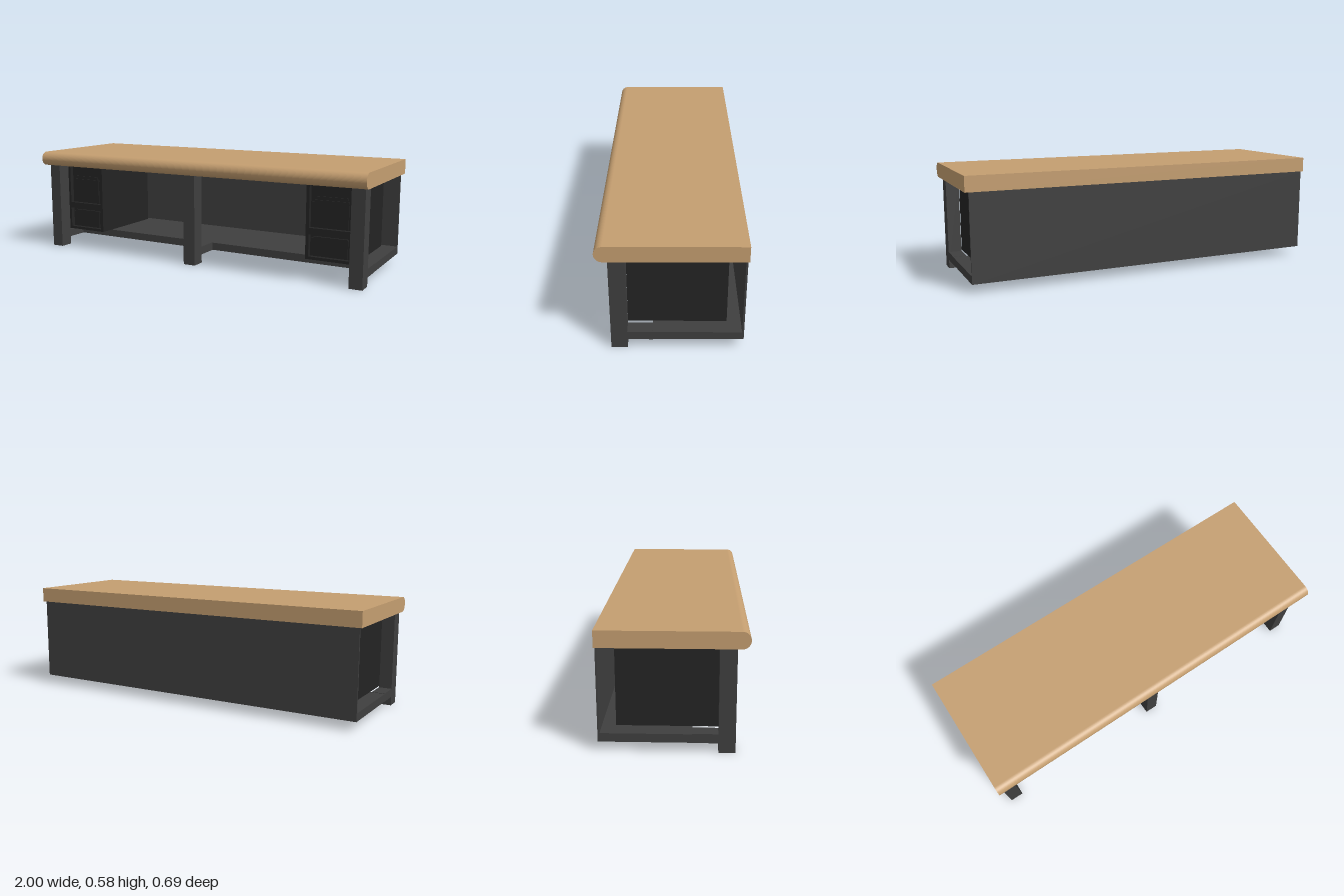
import * as THREE from 'three';

const wood = new THREE.MeshStandardMaterial({ color: 0xc49e70 });
const frameMat = new THREE.MeshStandardMaterial({ color: 0x3f3f3f });
const cabinetMat = new THREE.MeshStandardMaterial({ color: 0x242424 });

// Box given by its min and max on each axis
function box(name, [x0, x1], [y0, y1], [z0, z1], material) {
  const mesh = new THREE.Mesh(new THREE.BoxGeometry(x1 - x0, y1 - y0, z1 - z0), material);
  mesh.position.set((x0 + x1) / 2, (y0 + y1) / 2, (z0 + z1) / 2);
  mesh.name = name;
  return mesh;
}

// Worktop with a half-round front edge, profile extruded along x
function worktop() {
  const r = 0.04, front = 0.346, back = -0.346;
  const s = new THREE.Shape();
  s.moveTo(-back, -r);
  s.lineTo(-back, r);
  s.lineTo(-front + r, r);
  s.absarc(-front + r, 0, r, Math.PI / 2, Math.PI * 1.5, false);
  s.closePath();
  const geo = new THREE.ExtrudeGeometry(s, { depth: 2, bevelEnabled: false, curveSegments: 24 });
  geo.translate(0, 0, -1).rotateY(Math.PI / 2);
  const mesh = new THREE.Mesh(geo, wood);
  mesh.position.y = 0.541;
  mesh.name = 'worktop';
  return mesh;
}

// Drawer cabinet: carcass, face frame with two openings, recessed drawer fronts
function cabinet(name, cx) {
  const g = new THREE.Group();
  g.name = name;
  const w = 0.13, bottom = 0.1, top = 0.5, faceZ = 0.21, recess = 0.025;
  g.add(box('carcass', [-w, w], [bottom, top], [-0.263, faceZ - recess], cabinetMat));

  const face = new THREE.Shape();
  face.moveTo(-w, bottom).lineTo(w, bottom).lineTo(w, top).lineTo(-w, top).closePath();
  const drawers = [
    { y0: 0.115, y1: 0.23, panelTop: 0.22 },
    { y0: 0.265, y1: 0.49, panelTop: 0.41 },
  ];
  for (const { y0, y1, panelTop } of drawers) {
    const hole = new THREE.Path();
    hole.moveTo(-0.113, y0).lineTo(-0.113, y1).lineTo(0.113, y1).lineTo(0.113, y0).closePath();
    face.holes.push(hole);
    const z = faceZ - recess;
    g.add(box('drawerFront', [-0.092, 0.092], [y0 + 0.005, panelTop], [z, z + 0.012], cabinetMat));
    for (const side of [-1, 1]) {
      const x = side * 0.098;
      g.add(box('drawerRunner', [x - 0.006, x + 0.006], [y0 + 0.005, panelTop - 0.01], [z, z + 0.006], cabinetMat));
    }
  }
  // Lip above the upper drawer front
  g.add(box('drawerLip', [-0.082, 0.082], [0.41, 0.428], [faceZ - recess, faceZ - recess + 0.006], cabinetMat));

  const frame = new THREE.Mesh(new THREE.ExtrudeGeometry(face, { depth: recess, bevelEnabled: false }), cabinetMat);
  frame.position.z = faceZ - recess;
  frame.name = 'faceFrame';
  g.add(frame);
  g.position.x = cx;
  return g;
}

export function createModel() {
  const model = new THREE.Group();
  model.name = 'counter';
  model.add(worktop());

  // Front legs, each tied back to the bottom shelf by a short rail
  for (const x of [-0.953, -0.004, 0.945]) {
    const span = [x - 0.035, x + 0.035];
    model.add(box('frontLeg', span, [0, 0.501], [0.21, 0.288], frameMat));
    model.add(box('legRail', span, [0.047, 0.092], [0.09, 0.21], frameMat));
  }

  // Bottom shelf and back panel
  const width = [-0.988, 0.98];
  model.add(box('bottomShelf', width, [0.048, 0.09], [-0.332, 0.09], frameMat));
  model.add(box('backPanel', width, [0.048, 0.501], [-0.341, -0.332], frameMat));

  model.add(cabinet('rightCabinet', -0.79));
  model.add(cabinet('leftCabinet', 0.778));
  return model;
}
